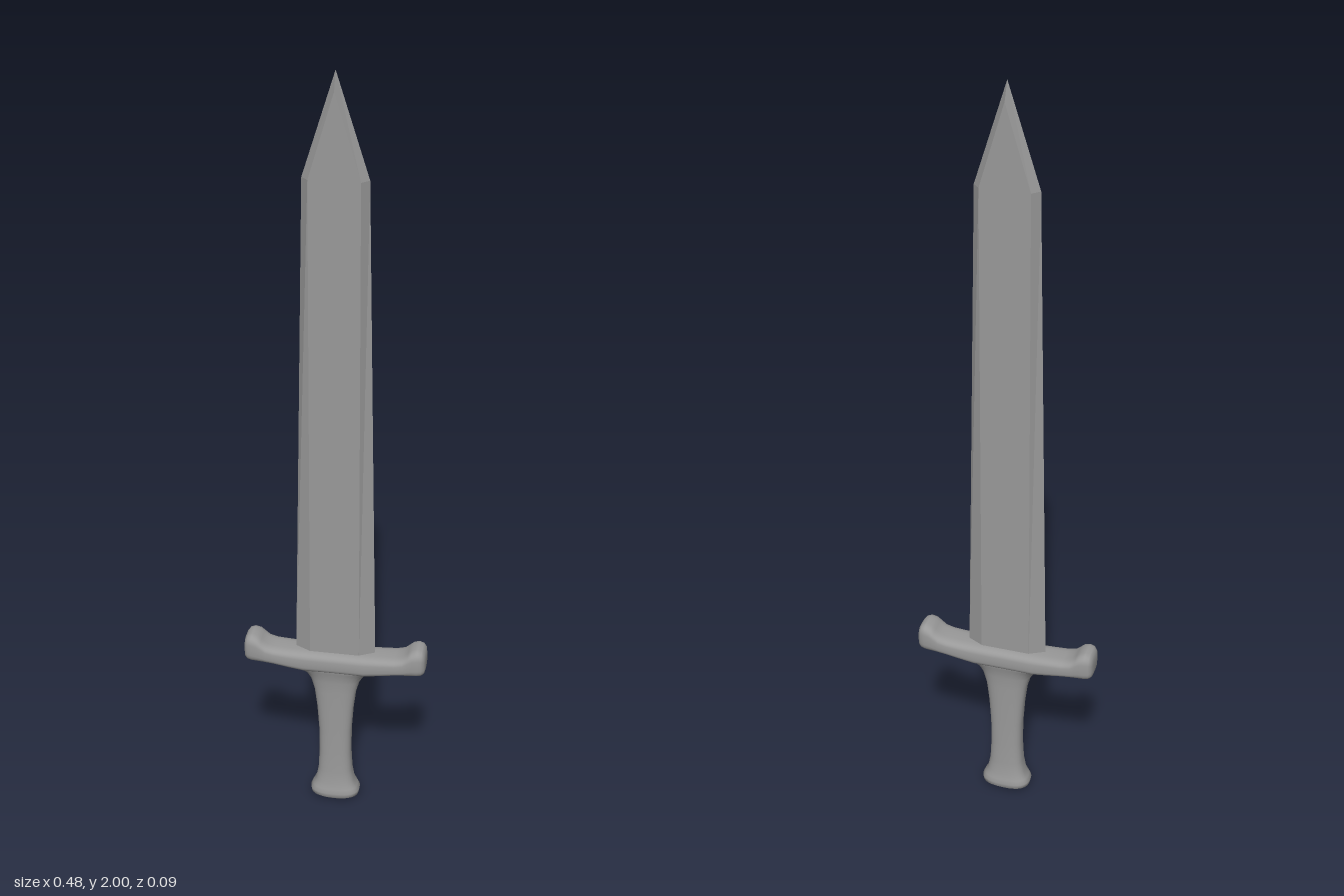
import * as THREE from 'three';

// Skin a series of closed rings (counterclockwise seen from the far end), capping both ends.
function loft(rings, capped = true) {
  const n = rings[0].length, pos = [], index = [];
  rings.forEach(ring => ring.forEach(p => pos.push(...p)));
  for (let i = 0; i < rings.length - 1; i++) {
    for (let j = 0; j < n; j++) {
      const a = i * n + j, b = i * n + (j + 1) % n;
      index.push(a, b, b + n, a, b + n, a + n);
    }
  }
  if (capped) {
    [rings[0], rings[rings.length - 1]].forEach((ring, end) => {
      const start = end ? (rings.length - 1) * n : 0, centre = pos.length / 3;
      pos.push(...[0, 1, 2].map(k => ring.reduce((s, p) => s + p[k], 0) / n));
      for (let j = 0; j < n; j++) {
        const a = start + j, b = start + (j + 1) % n;
        index.push(centre, end ? a : b, end ? b : a);
      }
    });
  }
  const geo = new THREE.BufferGeometry();
  geo.setAttribute('position', new THREE.Float32BufferAttribute(pos, 3));
  geo.setIndex(index);
  geo.computeVertexNormals();
  return geo;
}

// Rounded-square outline of unit radius; a smaller power is boxier.
function outline(power, count = 32) {
  const soft = v => Math.sign(v) * Math.pow(Math.abs(v), power);
  return Array.from({ length: count }, (_, i) => {
    const t = (i / count) * Math.PI * 2;
    return [soft(Math.cos(t)), soft(Math.sin(t))];
  });
}

export function createModel() {
  const model = new THREE.Group();
  model.name = 'sword';
  const steel = new THREE.MeshStandardMaterial({ color: 0x999999 });
  steel.name = 'grey steel';
  const add = (name, geo) => {
    const mesh = new THREE.Mesh(geo, steel);
    mesh.name = name;
    model.add(mesh);
  };

  // Blade: six-sided section; the flats end in a ridge just below the point.
  const bladeRing = (edge, flat, edgeY, flatY) => [
    [edge, edgeY, 0], [flat, flatY, -0.02], [-flat, flatY, -0.02],
    [-edge, edgeY, 0], [-flat, flatY, 0.02], [flat, flatY, 0.02],
  ];
  const blade = loft([
    bladeRing(0.106, 0.065, 0.45, 0.45),
    bladeRing(0.08, 0.062, 1.75, 1.75),
    bladeRing(0, 0, 2, 1.955),
  ], false).toNonIndexed();
  blade.computeVertexNormals();
  add('blade', blade);

  // Guard: [x, bottom, top, half depth], mirrored, with upturned rounded ends.
  const half = [
    [0, 0.41, 0.47, 0.043], [0.08, 0.41, 0.47, 0.043], [0.12, 0.416, 0.471, 0.043],
    [0.16, 0.423, 0.473, 0.043], [0.182, 0.425, 0.479, 0.043], [0.195, 0.425, 0.491, 0.043],
    [0.206, 0.425, 0.501, 0.043], [0.22, 0.425, 0.505, 0.042], [0.231, 0.427, 0.502, 0.039],
    [0.238, 0.432, 0.494, 0.033], [0.241, 0.442, 0.48, 0.022],
  ];
  const stations = [...half.slice(1).reverse().map(([x, ...r]) => [-x, ...r]), ...half];
  const guardShape = outline(0.6);
  add('guard', loft(stations.map(([x, low, high, depth]) =>
    guardShape.map(([c, s]) => [x, (low + high) / 2 + c * (high - low) / 2, s * depth]))));

  // Grip: [y, half width, half depth], from the pommel up to the flare under the guard.
  const grip = [
    [0, 0.03, 0.02], [0.004, 0.052, 0.035], [0.012, 0.065, 0.043], [0.024, 0.067, 0.044],
    [0.036, 0.061, 0.041], [0.055, 0.052, 0.036], [0.09, 0.046, 0.033], [0.15, 0.043, 0.031],
    [0.22, 0.044, 0.03], [0.29, 0.049, 0.03], [0.345, 0.056, 0.03], [0.38, 0.066, 0.031],
    [0.4, 0.079, 0.034], [0.412, 0.1, 0.037], [0.425, 0.14, 0.04], [0.44, 0.15, 0.04],
  ];
  const gripShape = outline(0.75);
  add('grip', loft(grip.map(([y, w, d]) => gripShape.map(([c, s]) => [c * w, y, -s * d]))));

  return model;
}
